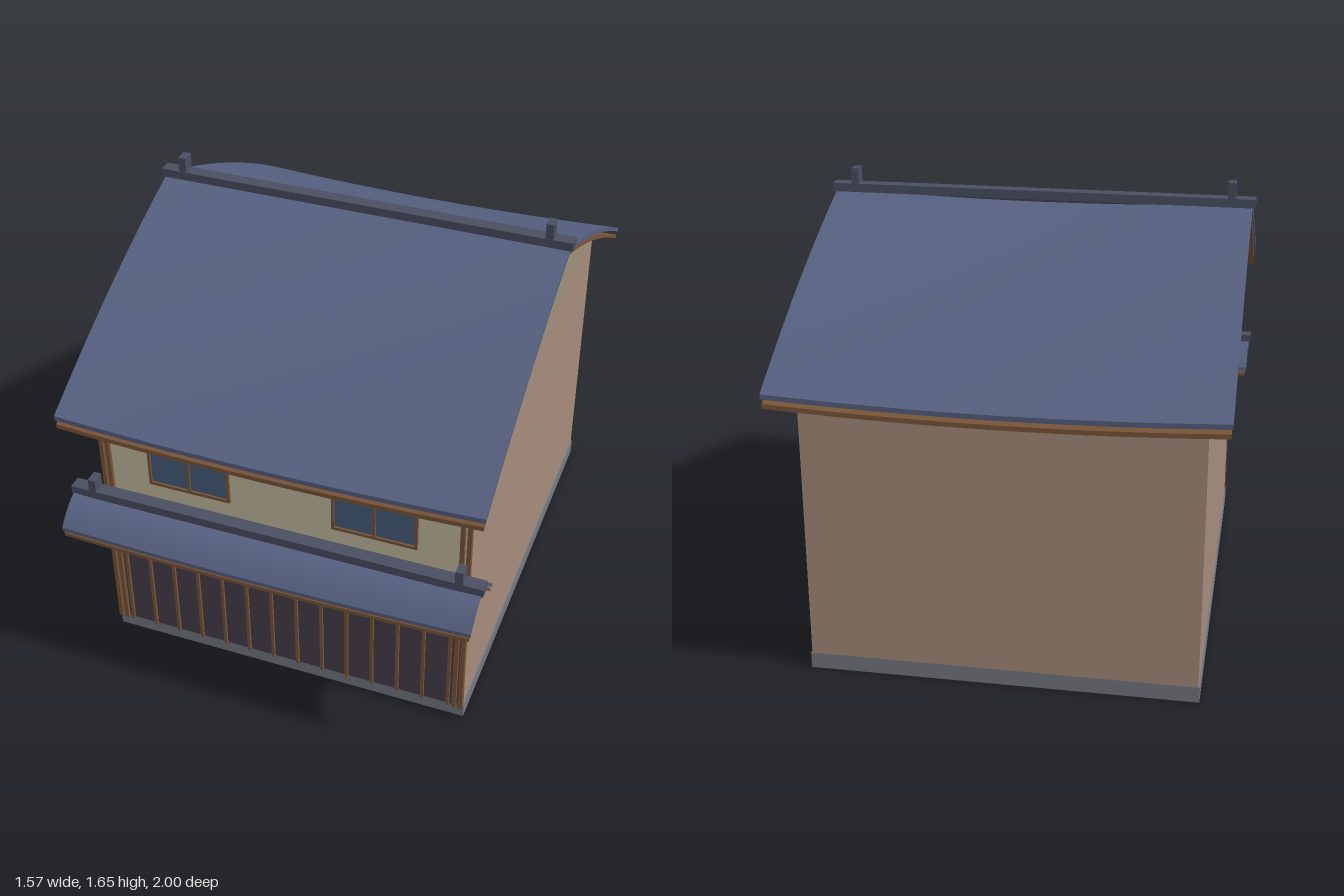
import * as THREE from 'three';

const mat = (color) => new THREE.MeshStandardMaterial({ color });
const M = {
  tile: mat(0x566080), ridge: mat(0x4a4f62), wood: mat(0x7a5638), stone: mat(0x747880),
  side: mat(0xa58b7b), gable: mat(0x9c9078), plaster: mat(0xc6bda0), shop: mat(0x473f4b),
  glass: mat(0x46607c), cloth: mat(0x36507c), floor: mat(0x36373a),
};

// Box given by its min and max on each axis
function box(parent, name, m, x0, x1, y0, y1, z0, z1) {
  const mesh = new THREE.Mesh(new THREE.BoxGeometry(x1 - x0, y1 - y0, z1 - z0), m);
  mesh.position.set((x0 + x1) / 2, (y0 + y1) / 2, (z0 + z1) / 2);
  mesh.name = name;
  parent.add(mesh);
  return mesh;
}

// Curved slab: top(t) is its height from t = 0 to t = 1 along z, sagging at mid-width
function slab(parent, name, m, halfW, z0, z1, top, thick, sag, segs) {
  const g = new THREE.BoxGeometry(1, 1, 1, 12, 1, segs);
  const p = g.attributes.position;
  for (let i = 0; i < p.count; i++) {
    const u = p.getX(i) * 2, t = p.getZ(i) + 0.5;
    const y = top(t) - sag * (1 - u * u) - (p.getY(i) < 0 ? thick : 0);
    p.setXYZ(i, u * halfW, y, z0 + (z1 - z0) * t);
  }
  g.computeVertexNormals();
  const mesh = new THREE.Mesh(g, m);
  mesh.name = name;
  parent.add(mesh);
  return mesh;
}

// Straight ridge cap with an upright block near each end
function ridgeCap(parent, name, halfW, y0, y1, z, endX, endTop) {
  const g = new THREE.Group();
  g.name = name;
  box(g, 'ridgeBeam', M.ridge, -halfW, halfW, y0, y1, z - 0.025, z + 0.025);
  for (const s of [-1, 1])
    box(g, 'ridgeEndBlock', M.ridge, s * endX - 0.014, s * endX + 0.014, y1, endTop, z - 0.024, z + 0.024);
  parent.add(g);
}

export function createModel() {
  const house = new THREE.Group();
  house.name = 'townhouse';
  const W = 0.69, ZF = 0.78, ZB = -0.87, ZR = -0.0325;

  // Open foundation ring and recessed floor
  box(house, 'foundationFront', M.stone, -0.7, 0.7, 0, 0.06, ZF - 0.02, ZF + 0.005);
  box(house, 'foundationBack', M.stone, -0.7, 0.7, 0, 0.06, ZB, ZB + 0.02);
  for (const s of [-1, 1])
    box(house, 'foundationSide', M.stone, s * 0.69 - 0.01, s * 0.69 + 0.01, 0, 0.06, ZB, ZF);
  box(house, 'floor', M.floor, -0.68, 0.68, 0.05, 0.06, ZB + 0.01, ZF - 0.01);

  // Main walls and gable ends
  box(house, 'walls', M.side, -0.695, 0.695, 0.06, 1.13, ZB, ZF);
  const tri = new THREE.Shape([[-ZF, 1.13], [-ZB, 1.13], [-ZR, 1.54]].map((c) => new THREE.Vector2(...c)));
  for (const s of [-1, 1]) {
    const gable = new THREE.Mesh(new THREE.ExtrudeGeometry(tri, { depth: 0.015, bevelEnabled: false }), M.gable);
    gable.rotation.y = Math.PI / 2;
    gable.position.x = s > 0 ? 0.68 : -0.695;
    gable.name = 'gable';
    house.add(gable);
  }

  // Front wall: plaster above, dark shopfront with slats below
  box(house, 'plasterFront', M.plaster, -W, W, 0.54, 1.125, ZF, ZF + 0.004);
  box(house, 'shopfront', M.shop, -W, W, 0.055, 0.54, ZF, ZF + 0.01);
  for (let i = 0; i < 14; i++) {
    const x = -0.64 + i * 0.0985;
    box(house, 'shopSlat', M.wood, x - 0.006, x + 0.006, 0.055, 0.55, ZF, ZF + 0.02);
  }
  for (const s of [-1, 1])
    for (const x of [0.666, 0.69]) {
      box(house, 'lowerPost', M.wood, s * x - 0.008, s * x + 0.008, 0.055, 0.63, ZF, ZF + 0.024);
      box(house, 'upperPost', M.wood, s * x - 0.008, s * x + 0.008, 0.63, 1.08, ZF, ZF + 0.018);
    }

  // Upper windows
  for (const s of [-1, 1]) {
    const win = new THREE.Group();
    win.name = 'window';
    win.position.x = s * 0.35;
    box(win, 'pane', M.glass, -0.152, 0.152, 0.78, 0.975, ZF, ZF + 0.009);
    for (const x of [-0.152, 0, 0.152])
      box(win, 'mullion', M.wood, x - 0.005, x + 0.005, 0.78, 0.982, ZF, ZF + 0.016);
    box(win, 'sill', M.wood, -0.157, 0.157, 0.772, 0.784, ZF, ZF + 0.016);
    house.add(win);
  }

  // Hanging door cloths
  [[-0.475, -0.367, 0.45], [-0.361, -0.255, 0.435], [-0.249, -0.143, 0.45]].forEach(([a, b, y]) =>
    box(house, 'doorCloth', M.cloth, a, b, y, 0.585, 0.82, 0.825));

  // Main roof: tile layer over a boarded layer, repeated for the back slope
  const slope = (t) => 1.568 - 0.46 * t + 0.11 * t * (1 - t);
  for (const back of [false, true]) {
    const roof = new THREE.Group();
    roof.name = back ? 'backRoof' : 'frontRoof';
    slab(roof, 'roofTiles', M.tile, 0.775, 0, 0.9675, slope, 0.018, 0.022, 8);
    slab(roof, 'roofBoards', M.wood, 0.77, 0, 0.9675, (t) => slope(t) - 0.02 - 0.014 * t, 0.017, 0.022, 8);
    roof.position.z = ZR;
    if (back) roof.rotation.y = Math.PI;
    house.add(roof);
  }
  ridgeCap(house, 'mainRidge', 0.787, 1.56, 1.592, ZR, 0.7, 1.65);

  // Arched awning roof over the shopfront
  const arch = (t) => 0.738 - 0.085 * Math.pow(Math.abs(2 * t - 1), 1.9);
  slab(house, 'awningTiles', M.tile, 0.765, 0.742, 1.0, arch, 0.015, 0.016, 12);
  slab(house, 'awningBoards', M.wood, 0.76, 0.742, 0.998, (t) => arch(t) - 0.024, 0.014, 0.016, 12);
  ridgeCap(house, 'awningRidge', 0.773, 0.73, 0.763, 0.871, 0.687, 0.812);

  return house;
}
